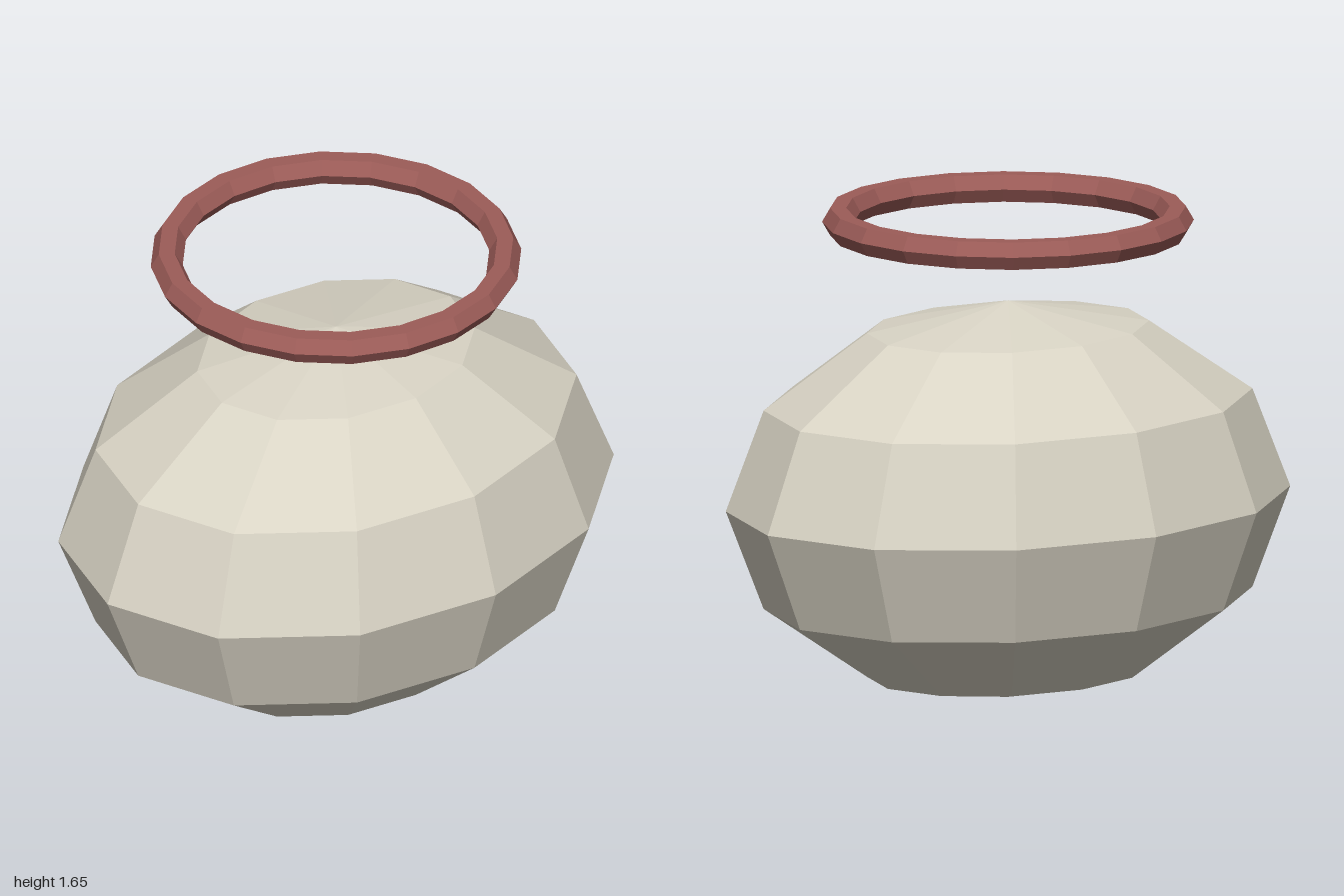
import * as THREE from 'three';

const flat = (color) => new THREE.MeshStandardMaterial({ color, flatShading: true });

export function createModel() {
  const model = new THREE.Group();

  // Faceted, flattened ball resting on its lower tip
  const bodyGeometry = new THREE.SphereGeometry(1, 12, 6);
  bodyGeometry.scale(1, 0.667, 0.8);
  bodyGeometry.translate(0, 0.667, 0);
  const body = new THREE.Mesh(bodyGeometry, flat(0xd8d3c4));
  body.name = 'body';
  model.add(body);

  // Six-sided ring floating above the body
  const ringGeometry = new THREE.TorusGeometry(0.56, 0.053, 6, 20);
  ringGeometry.rotateX(-Math.PI / 2);
  ringGeometry.translate(0, 1.602, 0);
  const ring = new THREE.Mesh(ringGeometry, flat(0x9c5c58));
  ring.name = 'floatingRing';
  model.add(ring);

  return model;
}
